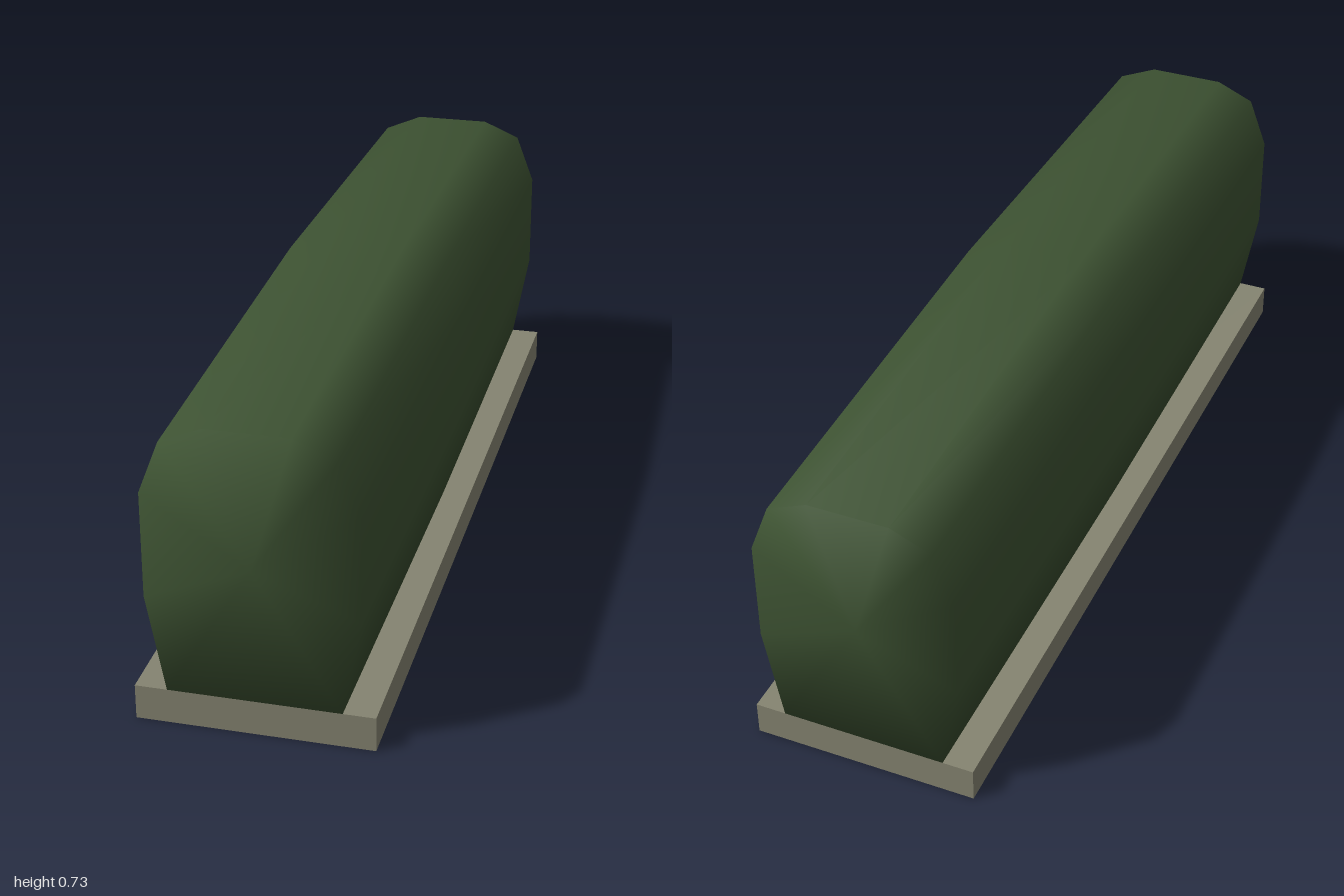
import * as THREE from 'three';

const BASE_TOP = 0.08;

// Right half of the hedge cross-section, bottom to top
const half = [[0.195, 0.08], [0.237, 0.31], [0.237, 0.56], [0.19, 0.684], [0.095, 0.725]];
const profile = [...half, ...half.slice().reverse().map(([x, y]) => [-x, y])];

// Lofts the profile through three stations, slightly smaller at both ends.
// Vertices are shared so the shading rolls softly over the end caps.
function hedgeGeometry() {
  const n = profile.length;
  const stations = [[-1, 0.97, 0.961], [0, 1, 1], [1, 0.97, 0.961]]; // z, x scale, height scale
  const pos = [], idx = [];
  for (const [z, sx, sy] of stations) {
    for (const [x, y] of profile) pos.push(x * sx, BASE_TOP + (y - BASE_TOP) * sy, z);
  }
  for (let r = 0; r < stations.length - 1; r++) {
    for (let i = 0; i < n; i++) {
      const j = (i + 1) % n;
      const a = r * n + i, b = r * n + j, c = b + n, d = a + n;
      idx.push(a, b, c, a, c, d);
    }
  }
  // End caps as fans round a centre point
  const back = pos.length / 3, front = back + 1, last = (stations.length - 1) * n;
  pos.push(0, 0.39, -1, 0, 0.39, 1);
  for (let i = 0; i < n; i++) {
    const j = (i + 1) % n;
    idx.push(back, j, i, front, last + i, last + j);
  }
  const g = new THREE.BufferGeometry();
  g.setAttribute('position', new THREE.Float32BufferAttribute(pos, 3));
  g.setIndex(idx);
  g.computeVertexNormals();
  return g;
}

export function createModel() {
  const leaf = new THREE.MeshStandardMaterial({ color: 0x3d5232 });
  leaf.name = 'hedge green';
  const stone = new THREE.MeshStandardMaterial({ color: 0x858471 });
  stone.name = 'stone grey';

  const model = new THREE.Group();
  model.name = 'hedge';

  // Kerb slab
  const base = new THREE.Mesh(new THREE.BoxGeometry(0.52, BASE_TOP, 2), stone);
  base.name = 'base';
  base.position.y = BASE_TOP / 2;

  // Clipped foliage
  const foliage = new THREE.Mesh(hedgeGeometry(), leaf);
  foliage.name = 'foliage';

  model.add(base, foliage);
  return model;
}
